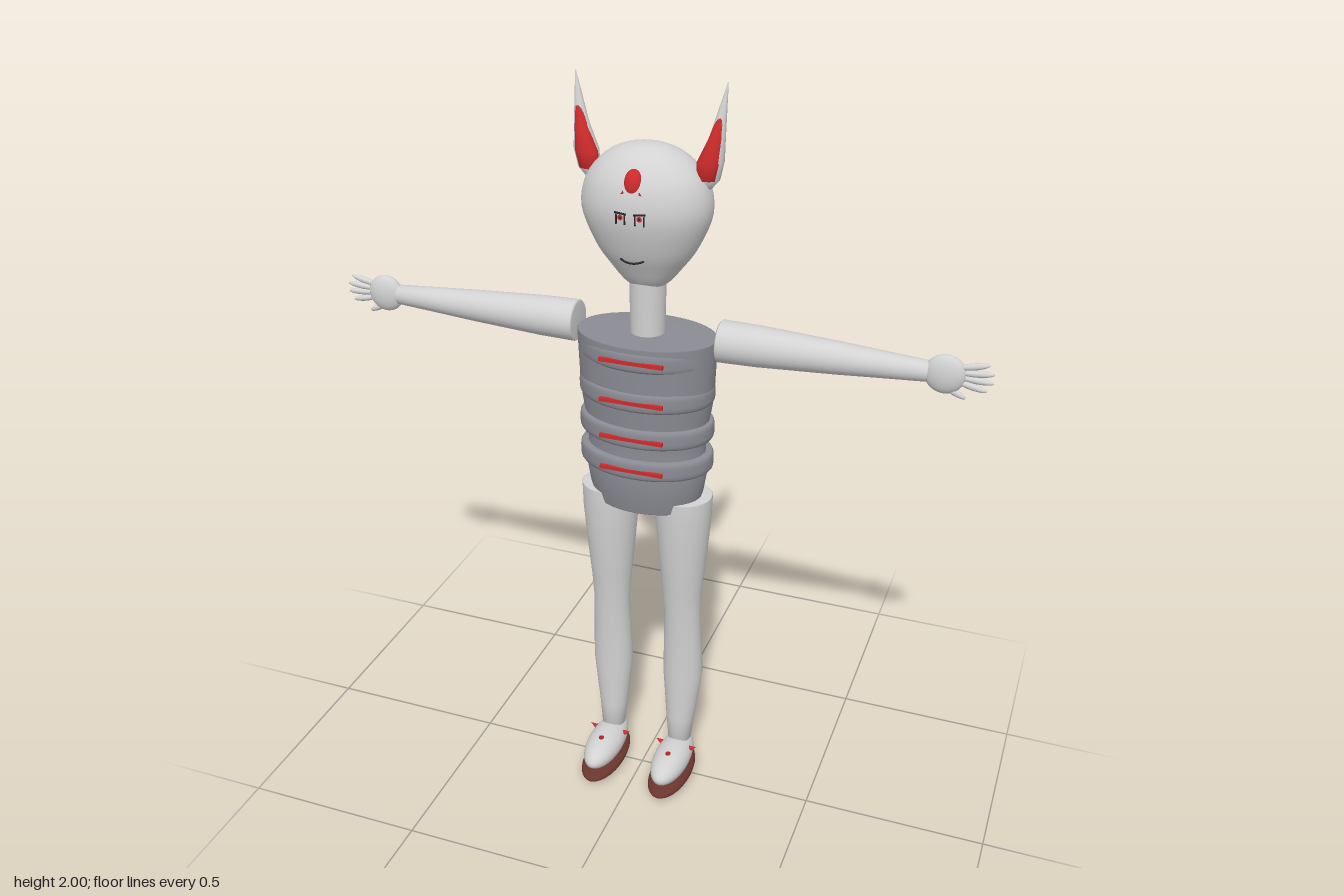
import * as THREE from 'three';

const mat = (name, color, extra = {}) =>
  Object.assign(new THREE.MeshStandardMaterial({ color, ...extra }), { name });

// Smooth skin from horizontal ellipses [x, y, z, rx, rz], listed bottom to top
function loft(sections, n = 24) {
  const pos = [], idx = [];
  const first = sections[0], last = sections[sections.length - 1];
  const rows = [[...first.slice(0, 3), 0, 0], ...sections, [...last.slice(0, 3), 0, 0]];
  rows.forEach(([x, y, z, rx, rz], r) => {
    for (let i = 0; i < n; i++) {
      const a = (i / n) * Math.PI * 2;
      pos.push(x + rx * Math.sin(a), y, z + rz * Math.cos(a));
      if (r === rows.length - 1) continue;
      const p = r * n + i, q = r * n + (i + 1) % n;
      idx.push(p, q, q + n, p, q + n, p + n);
    }
  });
  const g = new THREE.BufferGeometry();
  g.setAttribute('position', new THREE.Float32BufferAttribute(pos, 3));
  g.setIndex(idx);
  g.computeVertexNormals();
  return g;
}

const lathe = (pts, n = 40) =>
  new THREE.LatheGeometry(pts.map(([r, y]) => new THREE.Vector2(r, y)), n);

export function createModel() {
  const skin = mat('skin', 0xd2d2d2);
  const suit = mat('suit', 0x8b8b94);
  const red = mat('red', 0xcf2b2b);
  const soleMat = mat('sole', 0x6b352d);
  const dark = mat('dark', 0x2c2428, { side: THREE.DoubleSide });
  const model = new THREE.Group();
  const Z = -0.035;

  function add(parent, name, geo, material, p = [0, 0, 0], s = [1, 1, 1], r = [0, 0, 0]) {
    const m = new THREE.Mesh(geo, material);
    m.name = name;
    m.position.set(...p);
    m.scale.set(...s);
    m.rotation.set(...r);
    parent.add(m);
    return m;
  }
  const sphere = new THREE.SphereGeometry(1, 28, 18);

  // Egg-shaped head and neck
  const outline = new THREE.SplineCurve([[0, 1.487], [0.05, 1.5], [0.095, 1.55], [0.133, 1.605],
    [0.165, 1.69], [0.152, 1.765], [0.105, 1.82], [0.05, 1.846], [0, 1.852]]
    .map(([x, y]) => new THREE.Vector2(x, y)));
  const egg = outline.getPoints(32).map(p => [Math.max(0, p.x), p.y]);
  add(model, 'head', lathe(egg), skin, [0, 0, Z], [1, 1, 0.73]);
  add(model, 'neck', new THREE.CylinderGeometry(0.047, 0.044, 0.17, 28), skin, [0, 1.43, -0.04]);

  // Torso, open waist taper and closed ends
  const torso = lathe([[0, 0.885], [0.143, 0.885], [0.145, 0.887], [0.156, 0.93], [0.165, 0.985],
    [0.16, 1.06], [0.163, 1.11], [0.175, 1.18], [0.18, 1.24], [0.185, 1.363], [0.183, 1.366],
    [0, 1.366]]);
  add(model, 'torso', torso, suit, [0, 0, Z], [1, 1, 0.65]);

  // Rounded bands with a red stripe on the front of each
  const band = lathe([[0.8, -0.025], [0.97, -0.025], [0.992, -0.019], [1, -0.01], [1, 0.01],
    [0.992, 0.019], [0.97, 0.025], [0.8, 0.025]]);
  for (const y of [1.328, 1.218, 1.115, 1.025]) {
    add(model, 'torsoBand', band, suit, [0, y, Z], [0.181, 1, 0.123]);
    add(model, 'bandStripe', new THREE.BoxGeometry(0.17, 0.01, 0.009), red, [0, y, 0.085]);
  }

  // Forehead gem with two small side points
  add(model, 'foreheadGem', sphere, red, [0, 1.78, 0.062], [0.022, 0.031, 0.016], [-0.3, 0, 0]);
  for (const s of [-1, 1])
    add(model, 'gemPoint', new THREE.ConeGeometry(0.006, 0.025, 8), red,
      [s * 0.014, 1.75, 0.075], [1, 1, 0.6], [0, 0, s * 2.2]);

  // Mouth
  const smile = new THREE.QuadraticBezierCurve3(new THREE.Vector3(-0.03, 1.592, 0.07),
    new THREE.Vector3(0, 1.578, 0.082), new THREE.Vector3(0.03, 1.592, 0.07));
  add(model, 'mouth', new THREE.TubeGeometry(smile, 12, 0.0025, 6), dark);

  // Paired parts, made for the left and mirrored for the right
  for (const side of [1, -1]) {
    const half = new THREE.Group();
    half.name = side > 0 ? 'leftSide' : 'rightSide';
    half.scale.x = side;
    model.add(half);

    // Eye: iris, upper lid and lashes
    add(half, 'iris', new THREE.CircleGeometry(0.007, 14), red, [0.024, 1.7, 0.087]);
    add(half, 'pupil', new THREE.CircleGeometry(0.003, 10), dark, [0.024, 1.7, 0.0875]);
    add(half, 'eyelid', new THREE.BoxGeometry(0.03, 0.004, 0.004), dark, [0.024, 1.71, 0.086], [1, 1, 1], [0, 0, 0.1]);
    for (const x of [0.013, 0.035])
      add(half, 'lash', new THREE.BoxGeometry(0.003, 0.024, 0.004), dark, [x, 1.695, 0.085]);

    // Tall pointed ear with a red inner face
    const ear = [[0.148, 1.752, -0.04, 0.012, 0.01], [0.152, 1.775, -0.04, 0.028, 0.021],
      [0.158, 1.82, -0.039, 0.032, 0.025], [0.171, 1.88, -0.043, 0.019, 0.018],
      [0.18, 1.94, -0.049, 0.01, 0.01], [0.189, 2, -0.055, 0.001, 0.001]];
    add(half, 'ear', loft(ear), skin);
    const inner = ear.slice(1).map(([x, y, z, rx, rz]) =>
      [x - rx * 0.12, y - (y - 1.77) * 0.06, z + rz * 0.4, rx * 0.9, rz * 0.8]);
    add(half, 'innerEar', loft(inner), red);

    // Arm from shoulder to wrist
    const arm = lathe([[0, 0], [0.05, 0], [0.054, 0.004], [0.052, 0.1], [0.046, 0.21],
      [0.041, 0.3], [0.034, 0.4], [0.026, 0.52], [0, 0.522]], 28);
    add(half, 'arm', arm, skin, [0.19, 1.366, -0.042], [1, 1, 1], [0, 0, -Math.PI / 2]);

    // Flat hand, four fingers and a thumb
    add(half, 'hand', sphere, skin, [0.75, 1.366, -0.04], [0.05, 0.05, 0.022]);
    for (const [x, y, a, len] of [[0.815, 1.394, 0.22, 0.038], [0.825, 1.377, 0.08, 0.04],
      [0.825, 1.36, -0.06, 0.04], [0.815, 1.343, -0.22, 0.038], [0.775, 1.323, -0.45, 0.032]])
      add(half, 'finger', sphere, skin, [x, y, -0.04], [len, 0.0085, 0.0085], [0, 0, a]);

    // Leg with a narrow knee and a calf set slightly back
    add(half, 'leg', loft([[0.103, 0.1, -0.037, 0.033, 0.037], [0.103, 0.18, -0.04, 0.041, 0.04],
      [0.105, 0.26, -0.045, 0.05, 0.045], [0.106, 0.33, -0.048, 0.057, 0.049],
      [0.106, 0.4, -0.045, 0.055, 0.047], [0.105, 0.54, -0.037, 0.051, 0.045],
      [0.104, 0.62, -0.036, 0.056, 0.053], [0.104, 0.75, -0.036, 0.068, 0.067],
      [0.104, 0.85, -0.036, 0.076, 0.074], [0.104, 0.914, -0.036, 0.078, 0.075],
      [0.104, 0.916, -0.036, 0.076, 0.073]]), skin);

    // Shoe, sole and red studs
    add(half, 'shoe', sphere, skin, [0.103, 0.068, 0.028], [0.051, 0.043, 0.122]);
    add(half, 'sole', sphere, soleMat, [0.103, 0.021, 0.03], [0.058, 0.021, 0.129]);
    const stud = new THREE.ConeGeometry(0.012, 0.032, 10);
    add(half, 'shoeStud', stud, red, [0.103, 0.112, 0.07], [1, 1, 1], [0.6, 0, 0]);
    for (const s of [-1, 1])
      add(half, 'shoeStud', stud, red, [0.103 + s * 0.047, 0.087, -0.005], [1, 1, 1], [0, 0, -s * 1.1]);
  }
  return model;
}
